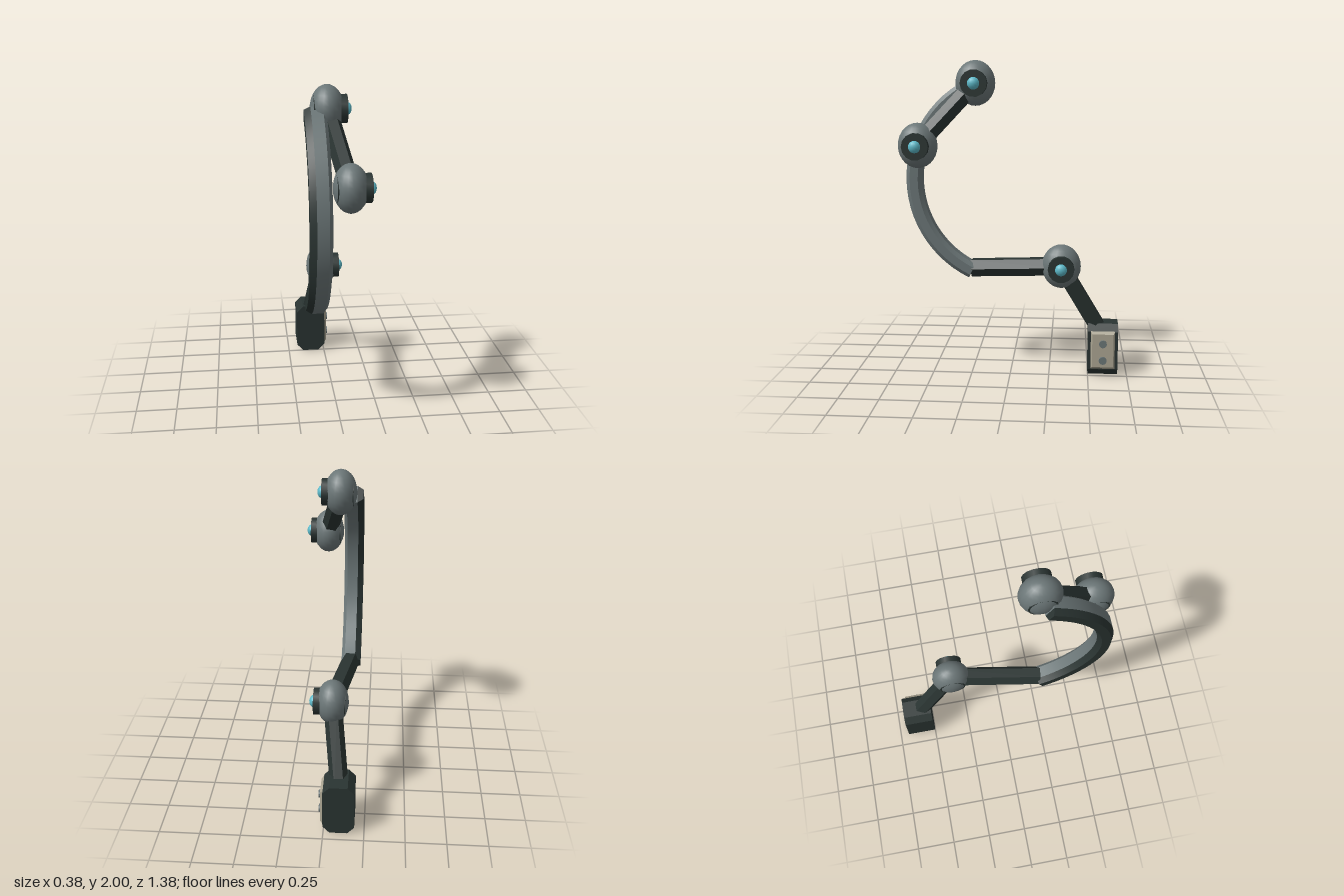
import * as THREE from 'three';
import { toCreasedNormals } from 'three/addons/utils/BufferGeometryUtils.js';

const V = (x, y, z) => new THREE.Vector3(x, y, z);
const deg = THREE.MathUtils.degToRad;

export function createModel() {
  const root = new THREE.Group();
  const mat = (name, color) => {
    const m = new THREE.MeshStandardMaterial({ color });
    m.name = name;
    return m;
  };
  const grey = mat('steelGrey', 0x6b7677);
  const dark = mat('darkGreen', 0x2a3432);
  const cyan = mat('cyan', 0x5cb9c9);
  const beige = mat('beige', 0xaba592);

  const add = (name, geo, material, parent = root) => {
    const m = new THREE.Mesh(geo, material);
    m.name = name;
    parent.add(m);
    return m;
  };
  const crisp = (geo) => toCreasedNormals(geo, 0.5);

  // hexagonal rod between two points, with two edges facing sideways
  function rod(name, a, b, r) {
    const d = b.clone().sub(a);
    const g = crisp(new THREE.CylinderGeometry(r, r, d.length(), 6).rotateY(Math.PI / 2));
    const y = d.normalize();
    const x = V(1, 0, 0).addScaledVector(y, -y.x).normalize();
    const z = x.clone().cross(y);
    const m = add(name, g, dark);
    m.quaternion.setFromRotationMatrix(new THREE.Matrix4().makeBasis(x, y, z));
    m.position.copy(a).add(b).multiplyScalar(0.5);
  }

  // ball joint with a collar through it and a glowing button on the left
  function joint(name, p) {
    const g = new THREE.Group();
    g.name = name;
    g.position.copy(p);
    add('ball', new THREE.SphereGeometry(1, 20, 14).scale(0.1, 0.14, 0.124), grey, g);
    const collar = crisp(new THREE.CylinderGeometry(0.083, 0.083, 0.195, 14).rotateZ(Math.PI / 2));
    add('collar', collar, dark, g).position.x = 0.0175;
    const button = new THREE.SphereGeometry(1, 14, 10).scale(0.028, 0.038, 0.038);
    add('button', button, cyan, g).position.x = 0.115;
    root.add(g);
  }

  const top = V(-0.05, 1.86, 0.22);
  const tip = V(0.045, 1.48, 0.57);
  const elbow = V(-0.035, 0.712, -0.323);
  joint('topJoint', top);
  joint('tipJoint', tip);
  joint('elbowJoint', elbow);
  rod('upperRod', top, tip, 0.058);
  rod('middleRod', elbow, V(-0.12, 0.675, 0.255), 0.062);
  rod('lowerRod', elbow, V(-0.095, 0.25, -0.592), 0.057);

  // curved bow: profiles [radial offset, x] swept around the x axis
  const R = 0.655, arc = deg(64);
  function bow(name, profile, material) {
    const g = new THREE.Group();
    g.name = name;
    g.position.set(0, 1.25, -0.035);
    g.rotation.z = -Math.PI / 2;
    const pts = profile.map(([r, x]) => new THREE.Vector2(R + r, x));
    const sweep = new THREE.LatheGeometry([...pts, pts[0]], 26, -arc, 2 * arc);
    add(name + 'Sweep', crisp(sweep), material, g);
    for (const side of [-1, 1]) {
      const cap = new THREE.ShapeGeometry(new THREE.Shape(pts));
      if (side > 0) {
        cap.index.array.reverse();
        cap.computeVertexNormals();
      }
      add(name + 'End', cap.rotateY(side * arc - Math.PI / 2), material, g);
    }
    root.add(g);
  }
  bow('bowFront', [[0.05, -0.15], [0.05, -0.08], [0.026, -0.06], [-0.026, -0.06],
    [-0.05, -0.08], [-0.05, -0.15]], grey);
  bow('bowBack', [[0.028, -0.187], [0.05, -0.15], [-0.05, -0.15], [-0.028, -0.187]], dark);

  // foot block: chamfered outline extruded along z
  const foot = new THREE.Shape([
    [-0.148, 0], [-0.038, 0], [0.004, 0.045], [0.004, 0.295],
    [-0.038, 0.338], [-0.148, 0.338], [-0.19, 0.295], [-0.19, 0.045],
  ].map(([x, y]) => new THREE.Vector2(x, y)));
  add('foot', new THREE.ExtrudeGeometry(foot, { depth: 0.19, bevelEnabled: false }), dark)
    .position.z = -0.69;

  // bevelled side plate with two bolts
  const plate = new THREE.CylinderGeometry(Math.SQRT1_2 * 0.87, Math.SQRT1_2, 0.016, 4)
    .rotateY(Math.PI / 4).scale(0.25, 1, 0.155).rotateZ(-Math.PI / 2);
  add('sidePlate', crisp(plate.toNonIndexed()), beige).position.set(0.011, 0.173, -0.594);
  for (const y of [0.11, 0.22]) {
    const bolt = crisp(new THREE.CylinderGeometry(0.025, 0.025, 0.03, 12).rotateZ(Math.PI / 2));
    add('bolt', bolt, grey).position.set(0.017, y, -0.594);
  }
  return root;
}
